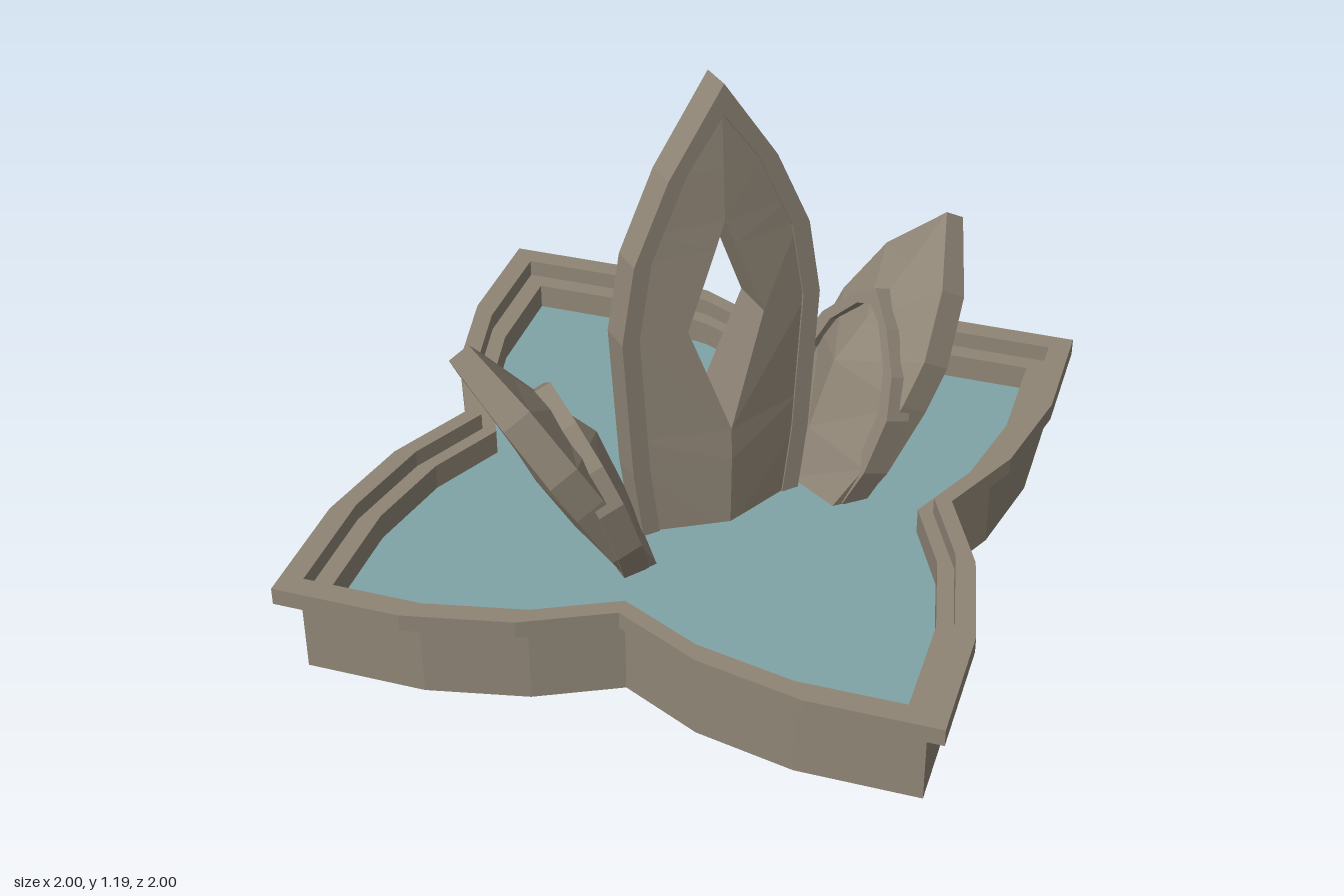
import * as THREE from 'three';

const stone = new THREE.MeshStandardMaterial({ color: 0x8f8576 });
stone.name = 'stone';
const water = new THREE.MeshStandardMaterial({ color: 0x80a4a6 });
water.name = 'water';

// Four-pointed star outline, scaled about its centre
function starPoints(s) {
  const arm = [[1, 0], [0.8, 0.2], [0.6, 0.33], [0.4, 0.4], [0.33, 0.6], [0.2, 0.8]];
  const pts = [];
  for (let q = 0; q < 4; q++) {
    for (const [x, y] of arm) {
      pts.push(new THREE.Vector2(x * s, y * s).rotateAround(new THREE.Vector2(), q * Math.PI / 2));
    }
  }
  return pts;
}

// Star slab or ring standing between two heights
function star(name, material, outer, inner, y0, y1) {
  const shape = new THREE.Shape(starPoints(outer));
  if (inner) shape.holes.push(new THREE.Path(starPoints(inner)));
  const geo = new THREE.ExtrudeGeometry(shape, { depth: y1 - y0, bevelEnabled: false });
  geo.rotateX(-Math.PI / 2).translate(0, y0, 0);
  const mesh = new THREE.Mesh(geo, material);
  mesh.name = name;
  return mesh;
}

// Flat-faced skin over four-cornered rings
function loft(rings) {
  const pos = [];
  for (let i = 0; i < rings.length - 1; i++) {
    for (let j = 0; j < 4; j++) {
      const k = (j + 1) % 4;
      const a = rings[i][j], b = rings[i][k], c = rings[i + 1][k], d = rings[i + 1][j];
      pos.push(...a, ...b, ...c, ...a, ...c, ...d);
    }
  }
  const geo = new THREE.BufferGeometry();
  geo.setAttribute('position', new THREE.Float32BufferAttribute(pos, 3));
  geo.computeVertexNormals();
  return geo;
}

// Two mirrored halves of a petal part
function mirrored(name, geo) {
  const group = new THREE.Group();
  group.name = name;
  for (const side of [1, -1]) {
    const half = new THREE.Mesh(geo, stone);
    half.name = name + (side > 0 ? 'Left' : 'Right');
    half.scale.x = side;
    group.add(half);
  }
  return group;
}

// Body rows: height, half width, front bulge, back bulge, half width of opening
function petalBody(name, rows, edge) {
  return mirrored(name, loft(rows.map(([y, w, f, b, h = 0]) => [
    [w, y, Math.min(edge, f)], [w, y, -Math.min(edge, b)], [h, y, -b], [h, y, f],
  ])));
}

// Rim rows: height, half width; the inner edge ends lower at the tip
function petalRim(name, rows, band, t, tipDrop) {
  return mirrored(name, loft(rows.map(([y, w]) => {
    const inX = Math.max(0, w - band), inY = w === 0 ? y - tipDrop : y;
    return [[w, y, t], [w, y, -t], [inX, inY, -t], [inX, inY, t]];
  })));
}

export function createModel() {
  const model = new THREE.Group();
  model.name = 'starFountain';

  // Basin
  model.add(star('basinFloor', stone, 0.94, 0, 0, 0.1));
  model.add(star('basinWall', stone, 0.94, 0.87, 0.1, 0.19));
  model.add(star('basinRim', stone, 1, 0.93, 0.19, 0.23));
  model.add(star('waterSurface', water, 0.87, 0, 0.1, 0.13));

  // Tall centre petal with a diamond opening
  const centre = new THREE.Group();
  centre.name = 'centrePetal';
  centre.add(petalBody('centreBody', [
    [0.1, 0.17, 0.075, 0.075], [0.3, 0.195, 0.08, 0.08], [0.38, 0.2, 0.077, 0.077],
    [0.64, 0.215, 0.05, 0.05, 0.09], [0.82, 0.185, 0.045, 0.045, 0.0225],
    [0.88, 0.16, 0.042, 0.042], [1.0, 0.1, 0.035, 0.035], [1.15, 0, 0.025, 0.025],
  ], 0.025));
  centre.add(petalRim('centreRim', [
    [0.1, 0.19], [0.3, 0.215], [0.64, 0.235], [0.82, 0.205], [1.0, 0.125], [1.19, 0],
  ], 0.04, 0.035, 0.07));
  centre.position.set(0.005, 0, 0.05);
  model.add(centre);

  // Leaning side petals, bulging towards the centre
  for (const side of [1, -1]) {
    const body = petalBody('sideBody', [
      [-0.09, 0.13, 0.06, 0.03], [0.04, 0.165, 0.088, 0.05], [0.21, 0.178, 0.115, 0.05],
      [0.32, 0.172, 0.088, 0.04], [0.47, 0.115, 0.052, 0.032], [0.61, 0, 0.025, 0.025],
    ], 0.035);
    const rim = petalRim('sideRim', [
      [-0.06, 0.14], [0.04, 0.173], [0.18, 0.184], [0.27, 0.15], [0.35, 0.08], [0.41, 0],
    ], 0.035, 0.03, 0.04);
    const petal = new THREE.Group();
    petal.name = side > 0 ? 'leftPetal' : 'rightPetal';
    body.rotation.x = -0.515;
    rim.rotation.x = -0.33;
    petal.add(body, rim);
    petal.rotation.y = -side * Math.PI / 2;
    petal.position.set(side > 0 ? 0.3 : -0.275, 0.18, 0.05);
    model.add(petal);
  }
  return model;
}
